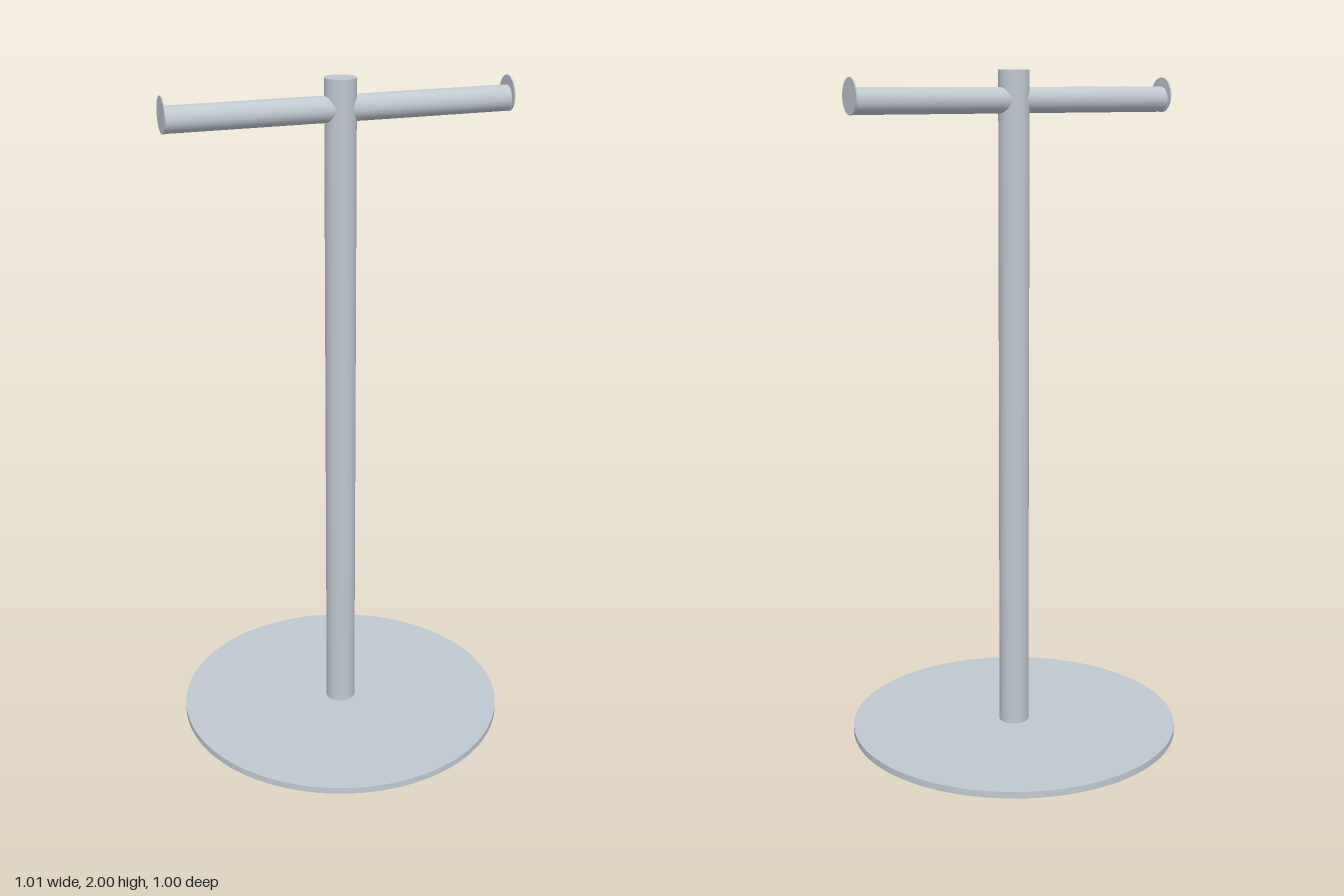
import * as THREE from 'three';

export function createModel() {
  const group = new THREE.Group();
  const steel = new THREE.MeshStandardMaterial({ color: 0xc0c8d0 });
  steel.name = 'brushedSteel';

  const rod = (name, radius, length, x, y, sideways = false, segments = 48) => {
    const geometry = new THREE.CylinderGeometry(radius, radius, length, segments);
    if (sideways) geometry.rotateZ(Math.PI / 2);
    const mesh = new THREE.Mesh(geometry, steel);
    mesh.name = name;
    mesh.position.set(x, y, 0);
    group.add(mesh);
  };

  // Round foot plate and upright
  rod('base', 0.499, 0.02, 0, 0.01, false, 96);
  rod('post', 0.045, 1.98, 0, 1.01);

  // Mirrored arms, each closed by a larger retaining disc set slightly high
  for (const [side, s] of [['left', 1], ['right', -1]]) {
    rod(side + 'Arm', 0.037, 0.5, s * 0.25, 1.915, true);
    rod(side + 'EndDisc', 0.051, 0.004, s * 0.501, 1.928, true);
  }
  return group;
}
